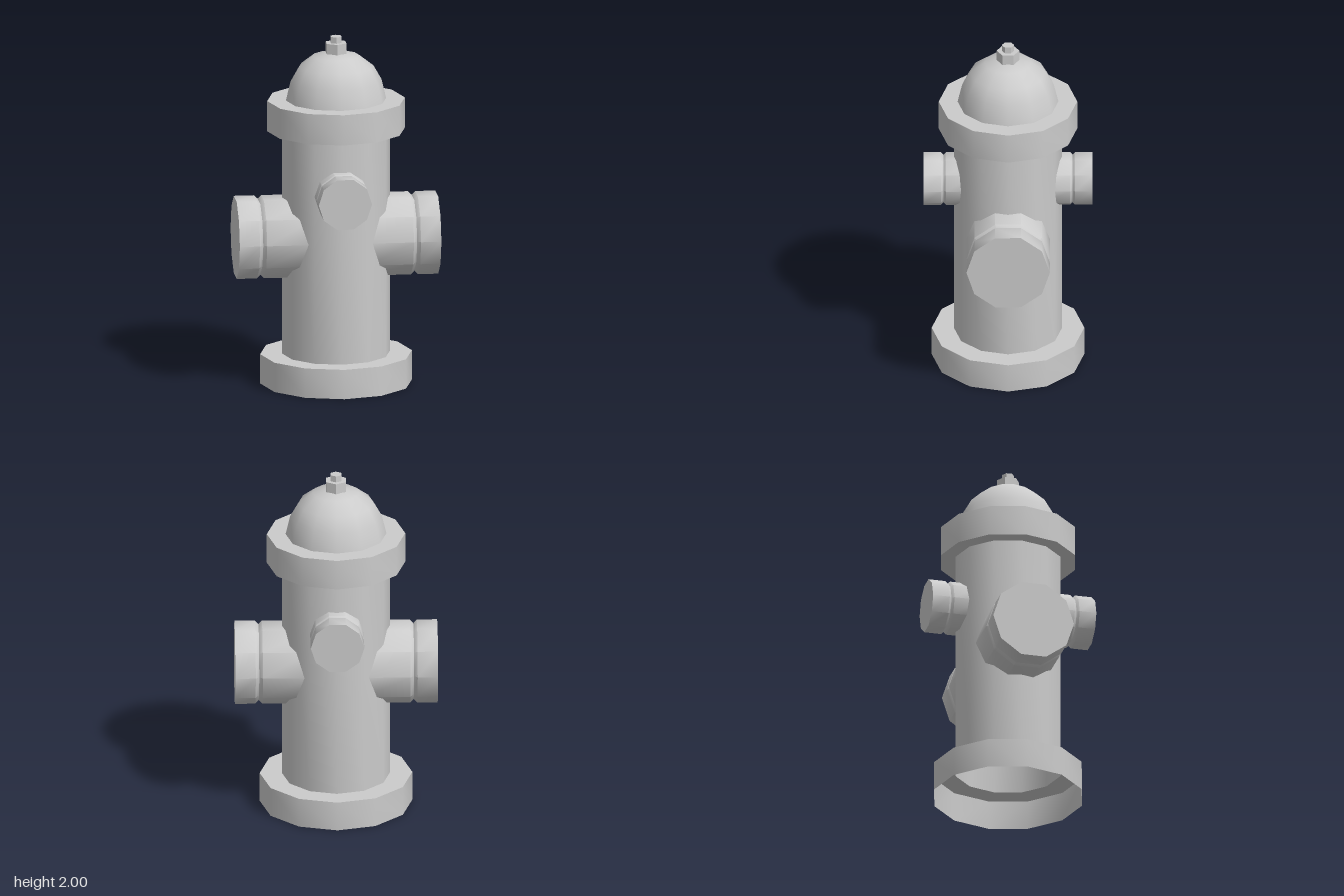
import * as THREE from 'three';
import { toCreasedNormals } from 'three/addons/utils/BufferGeometryUtils.js';

const material = new THREE.MeshStandardMaterial({ color: 0xcccccc, side: THREE.DoubleSide });

// Turned part: smooth around, sharp at strong corners of the profile
function turned(name, profile, sides) {
  const points = profile.map(([r, y]) => new THREE.Vector2(r, y));
  const geometry = toCreasedNormals(new THREE.LatheGeometry(points, sides), 0.9);
  const mesh = new THREE.Mesh(geometry, material);
  mesh.name = name;
  return mesh;
}

// Outlet pipe with a V groove and a closed cap, pointing away from the barrel
function outlet(name, { radius, start, groove, end, height, groovewidth, depth }, turn) {
  const mesh = turned(name, [
    [radius, start],
    [radius, groove - groovewidth],
    [radius - depth, groove],
    [radius, groove + groovewidth],
    [radius, end],
    [0, end],
  ], 10);
  mesh.geometry.rotateZ(-Math.PI / 2).rotateY(turn);
  mesh.position.y = height;
  return mesh;
}

export function createModel() {
  const model = new THREE.Group();
  model.name = 'hydrant';

  // Hollow shell, open underneath
  model.add(
    turned('baseFlange', [[0.43, 0], [0.43, 0.17], [0.305, 0.17]], 12),
    turned('barrel', [[0.305, 0.17], [0.305, 1.46]], 12),
    turned('collar', [[0.305, 1.46], [0.39, 1.46], [0.39, 1.635], [0.284, 1.635]], 12),
    turned('dome', [[0.284, 1.635], [0.258, 1.745], [0.212, 1.826], [0.132, 1.888], [0, 1.917]], 12),
  );

  // Hexagonal operating nut
  model.add(
    turned('nutFlange', [[0.064, 1.89], [0.064, 1.964], [0, 1.964]], 6),
    turned('nutStem', [[0.035, 1.964], [0.035, 2], [0, 2]], 6),
  );

  // Two large side outlets, two small ones front and back
  const large = { radius: 0.235, start: 0.15, groove: 0.436, end: 0.571, height: 0.85, groovewidth: 0.02, depth: 0.02 };
  const small = { radius: 0.151, start: 0.2, groove: 0.364, end: 0.475, height: 1.136, groovewidth: 0.014, depth: 0.014 };
  model.add(
    outlet('leftOutlet', large, 0),
    outlet('rightOutlet', large, Math.PI),
    outlet('frontOutlet', small, -Math.PI / 2),
    outlet('backOutlet', small, Math.PI / 2),
  );
  return model;
}
